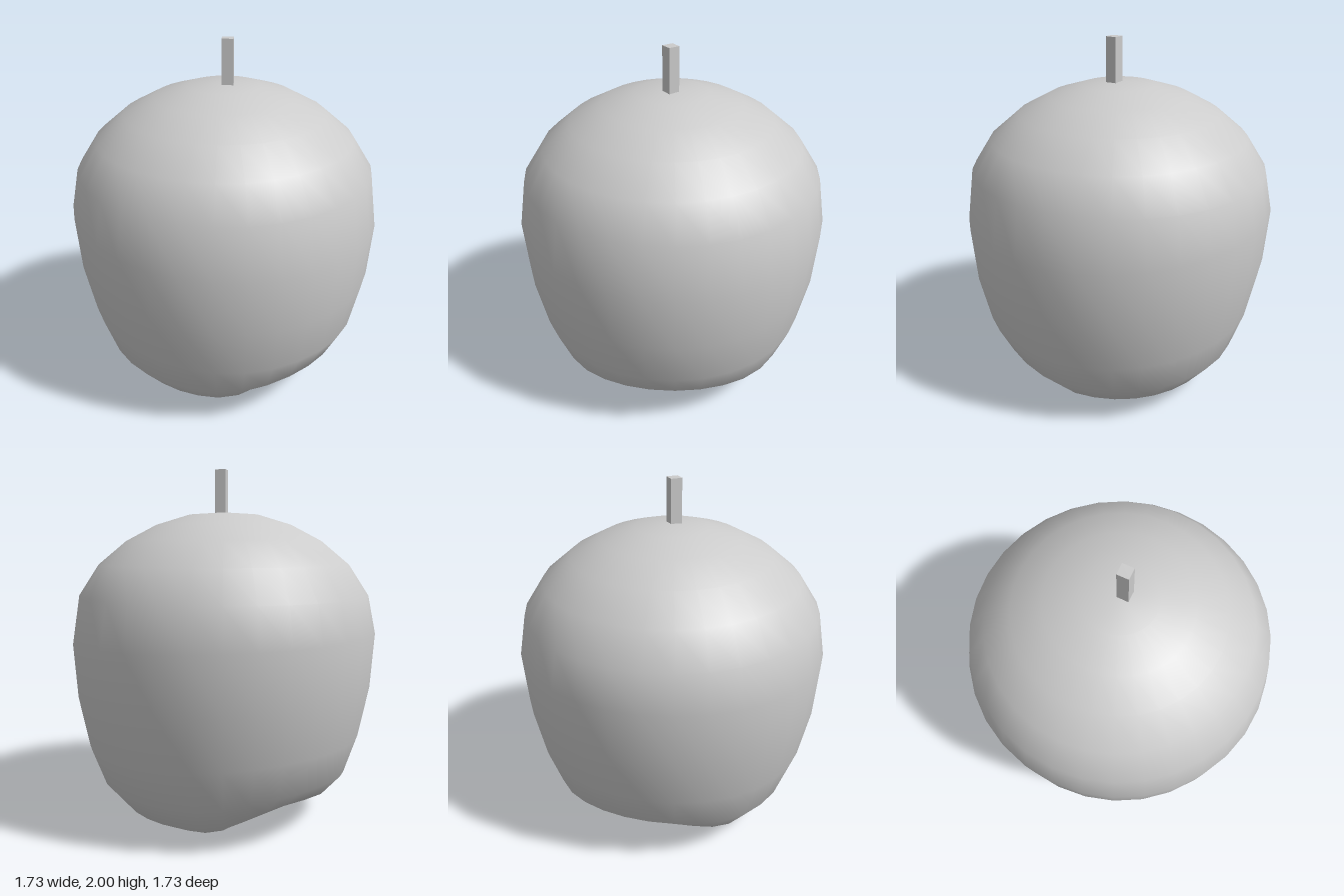
import * as THREE from 'three';
import { mergeVertices } from 'three/addons/utils/BufferGeometryUtils.js';

// Half profile of the fruit, from the underside to the crown: radius, height, dent lift
const PROFILE = [
  [0, 0.01, 0], [0.1, 0.005, 0.01], [0.2, 0.003, 0.03], [0.37, 0.014, 0.085], [0.49, 0.05, 0.13],
  [0.585, 0.1, 0.11], [0.71, 0.25, 0.05], [0.785, 0.46, 0.015], [0.842, 0.745, 0],
  [0.863, 1.05, 0], [0.82, 1.3, 0], [0.71, 1.47, 0], [0.555, 1.6, 0],
  [0.385, 1.69, 0], [0.2, 1.747, 0], [0, 1.762, 0],
];

function fruitGeometry() {
  const segments = 32;
  const lathe = new THREE.LatheGeometry(PROFILE.map(([r, y]) => new THREE.Vector2(r, y)), segments);
  const p = lathe.attributes.position;
  for (let i = 0; i < p.count; i++) {
    const x = p.getX(i), z = p.getZ(i), y = p.getY(i);
    const lift = PROFILE[i % PROFILE.length][2];
    // Two opposite hollows under the fruit leave the rim uneven
    const hollow = Math.max(0, Math.cos(2 * (Math.atan2(z, x) - 0.66)));
    // The middle rings lean slightly; crown and base stay level
    const lean = THREE.MathUtils.smoothstep(y, 0.1, 0.45) * (1 - THREE.MathUtils.smoothstep(y, 1.05, 1.3));
    p.setY(i, y + lift * hollow - lean * (0.045 * x + 0.03 * z));
  }
  // Weld the seam so the shading is smooth all round
  lathe.deleteAttribute('uv');
  lathe.deleteAttribute('normal');
  const geometry = mergeVertices(lathe, 1e-4);
  geometry.computeVertexNormals();
  return geometry;
}

export function createModel() {
  const group = new THREE.Group();
  group.name = 'apple';
  const material = new THREE.MeshStandardMaterial({ color: 0xcccccc });

  const fruit = new THREE.Mesh(fruitGeometry(), material);
  fruit.name = 'fruit';
  group.add(fruit);

  // Square stem standing on the crown
  const stem = new THREE.Mesh(new THREE.BoxGeometry(0.063, 0.26, 0.063), material);
  stem.name = 'stem';
  stem.position.set(0.018, 1.87, 0.02);
  group.add(stem);

  return group;
}
